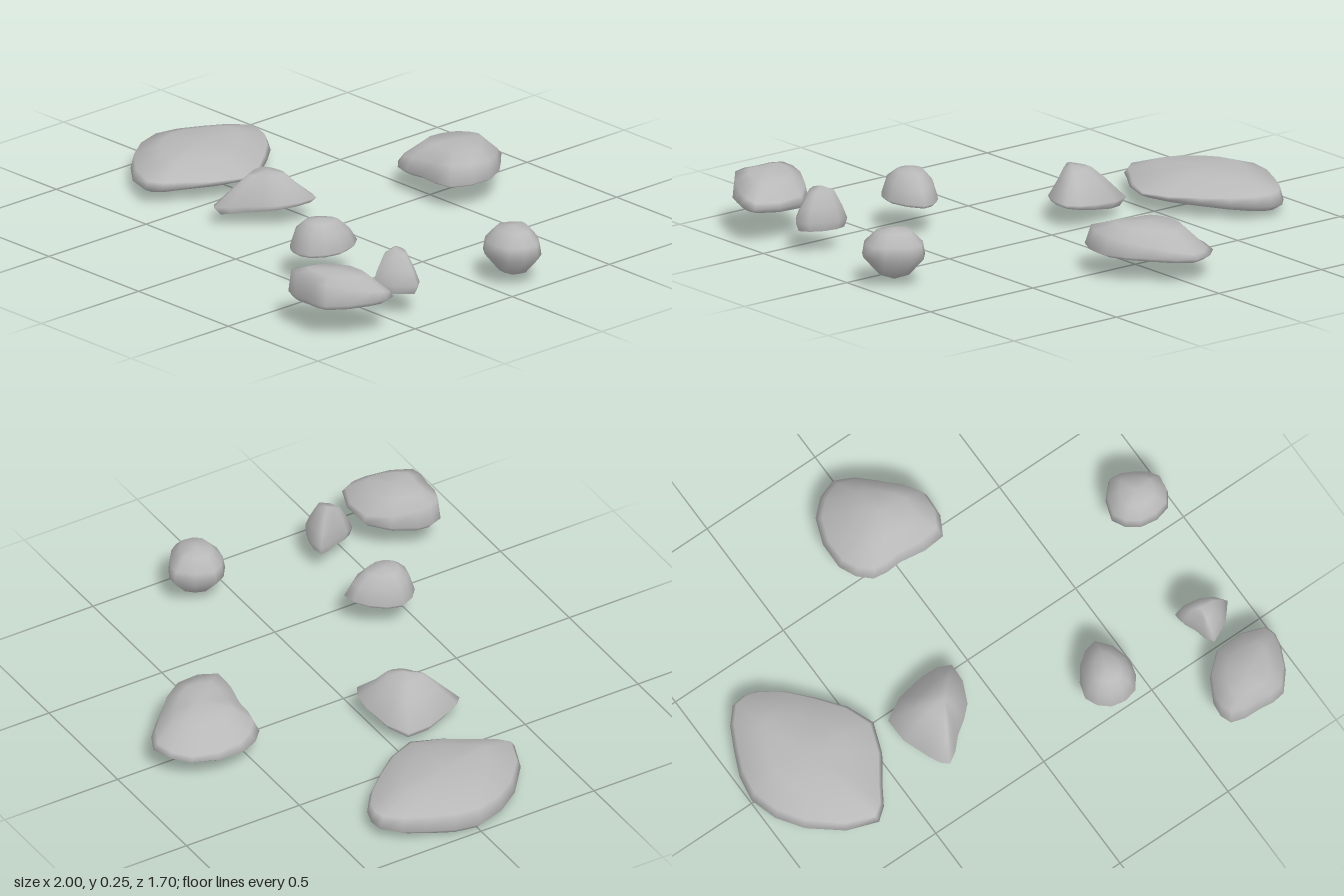
import * as THREE from 'three';

// A stone shell: a rounded plan outline [x, z] repeated as rings that shrink towards the peak.
// skirt is [bottom height, rim height, slope along x];
// shoulder is [scale, height, slope along x, slope along z]; base closes the underside.
function makeStone(name, material, { peak, outline, skirt, shoulder, base }) {
  const [px, py, pz] = peak;
  const [low, rim, tilt] = skirt;
  const [scale, height, sx, sz] = shoulder;
  const rings = [
    [base === undefined ? 0.88 : 0.5, low, tilt, 0],
    [1, rim, tilt * 0.6, 0],
    [scale, height, sx, sz],
    [scale * 0.6, THREE.MathUtils.lerp(height, py, 0.8), sx * 0.3, sz * 0.4],
  ];

  // Round the outline by adding one curved point between each pair of corners
  const corners = outline.map(([x, z]) => new THREE.Vector3(x, 0, z));
  const n = corners.length * 2;
  const plan = new THREE.CatmullRomCurve3(corners, true).getPoints(n).slice(0, n);

  const pos = [], index = [];
  for (const [s, y, slopeX, slopeZ] of rings) {
    for (const p of plan) {
      const dx = (p.x - px) * s, dz = (p.z - pz) * s;
      pos.push(px + dx, Math.max(0, y + dx * slopeX + dz * slopeZ), pz + dz);
    }
  }
  const top = pos.length / 3;
  pos.push(px, py, pz);
  if (base !== undefined) pos.push(px, base, pz);

  // Walls between the rings, then the top and the closed underside
  const last = (rings.length - 1) * n;
  for (let i = 0; i < n; i++) {
    const j = (i + 1) % n;
    for (let r = 0; r < last; r += n) {
      index.push(r + i, r + n + i, r + j, r + j, r + n + i, r + n + j);
    }
    index.push(last + i, top, last + j);
    if (base !== undefined) index.push(i, j, top + 1);
  }

  const geometry = new THREE.BufferGeometry();
  geometry.setAttribute('position', new THREE.Float32BufferAttribute(pos, 3));
  geometry.setIndex(index);
  geometry.computeVertexNormals();
  const mesh = new THREE.Mesh(geometry, material);
  mesh.name = name;
  return mesh;
}

export function createModel() {
  const group = new THREE.Group();
  group.name = 'scatteredStones';
  const grey = new THREE.MeshStandardMaterial({ color: 0xb8b8b8, side: THREE.DoubleSide });
  grey.name = 'grey stone';
  const add = (name, spec) => group.add(makeStone(name, grey, spec));

  add('largeFlatStone', {
    peak: [-0.74, 0.14, 0],
    outline: [[-0.84, -0.35], [-0.73, -0.34], [-0.57, -0.19], [-0.45, 0.02], [-0.57, 0.25],
      [-0.66, 0.355], [-0.9, 0.21], [-1, 0], [-0.94, -0.2]],
    skirt: [0.025, 0.05, 0.11], shoulder: [0.95, 0.087, -0.05, 0],
  });
  add('backStone', {
    peak: [0.03, 0.205, -0.62],
    outline: [[-0.02, -0.855], [0.12, -0.755], [0.235, -0.6], [0.19, -0.43], [0, -0.44],
      [-0.12, -0.445], [-0.2, -0.56], [-0.16, -0.77]],
    skirt: [0.08, 0.098, 0.06], shoulder: [0.9, 0.14, 0.15, 0.1],
  });
  add('ridgedStone', {
    peak: [-0.21, 0.205, 0.14],
    outline: [[-0.4, 0.045], [-0.2, -0.02], [-0.08, 0.01], [-0.12, 0.17], [-0.22, 0.25],
      [-0.31, 0.325], [-0.36, 0.25]],
    skirt: [0.06, 0.085, 0.17], shoulder: [0.6, 0.15, 0, 0],
  });
  add('smallRoundStone', {
    peak: [0.36, 0.242, 0.4],
    outline: [[0.41, 0.253], [0.475, 0.39], [0.42, 0.505], [0.31, 0.505], [0.248, 0.42], [0.31, 0.3]],
    skirt: [0.115, 0.13, 0.06], shoulder: [0.8, 0.195, 0, 0.1],
  });
  add('frontStone', {
    peak: [0.79, 0.242, 0.72],
    outline: [[0.76, 0.555], [0.97, 0.585], [0.97, 0.68], [0.87, 0.84], [0.76, 0.84],
      [0.64, 0.82], [0.63, 0.72]],
    skirt: [0.118, 0.14, 0.05], shoulder: [0.94, 0.2, -0.03, 0.22],
  });
  add('pointedStone', {
    peak: [0.79, 0.25, 0.41],
    outline: [[0.72, 0.34], [0.83, 0.34], [0.915, 0.41], [0.78, 0.515], [0.75, 0.43]],
    skirt: [0.09, 0.125, 0], shoulder: [0.8, 0.175, 0, 0],
  });
  add('sideBoulder', {
    peak: [0.87, 0.222, -0.125], base: 0.02,
    outline: [[0.825, -0.245], [0.92, -0.215], [0.995, -0.14], [0.95, -0.03], [0.82, -0.025],
      [0.745, -0.11]],
    skirt: [0.045, 0.115, 0], shoulder: [0.93, 0.165, 0, 0],
  });
  return group;
}
